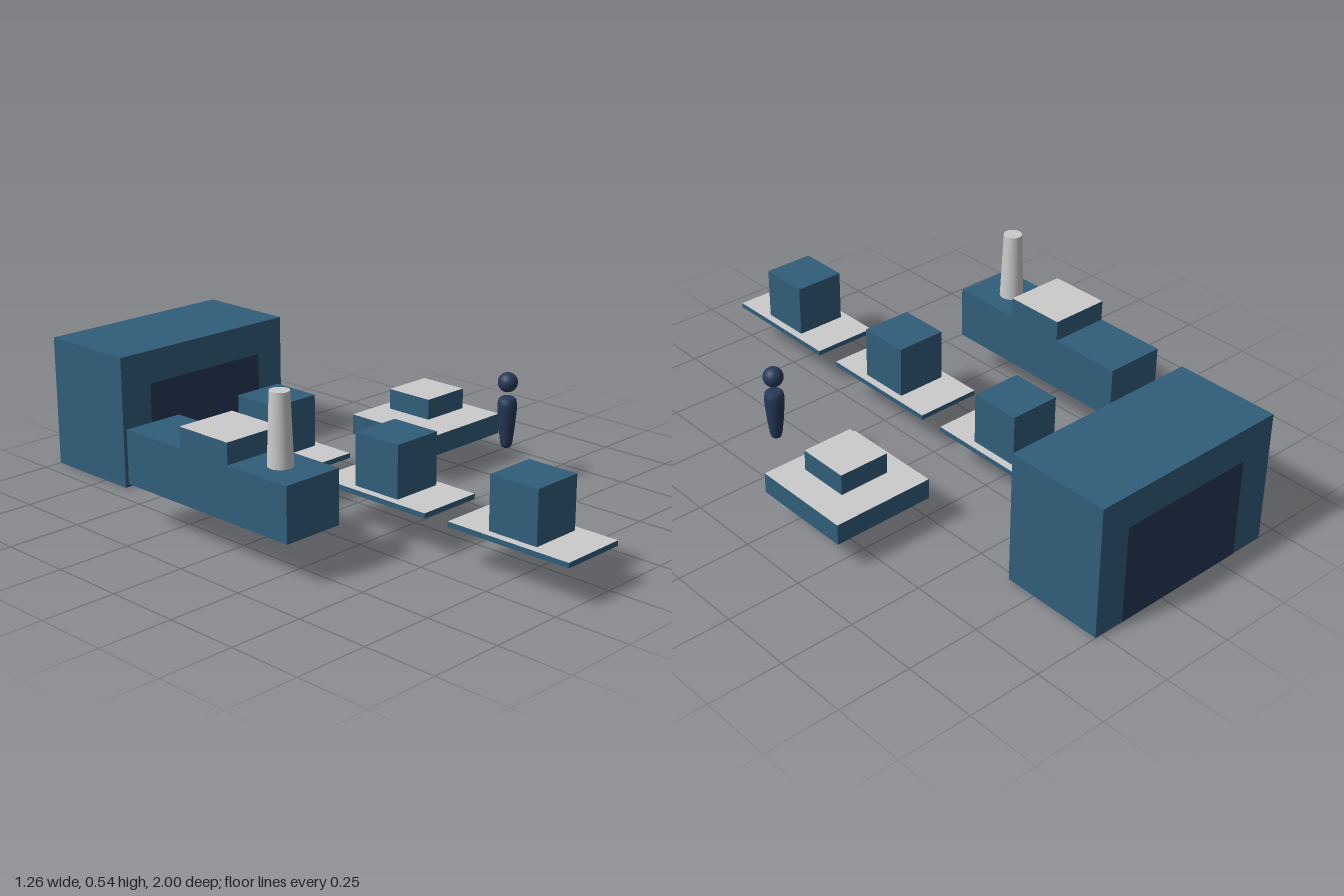
import * as THREE from 'three';

const blue = new THREE.MeshStandardMaterial({ color: 0x315e7a });
const navy = new THREE.MeshStandardMaterial({ color: 0x243856 });
const grey = new THREE.MeshStandardMaterial({ color: 0xcccccc });
// Box face order: +x, -x, +y, -y, +z, -z
const greyTopped = [blue, blue, grey, blue, blue, blue];

// Box from its lower and upper bounds
function box(name, [x0, x1], [y0, y1], [z0, z1], material = blue) {
  const mesh = new THREE.Mesh(new THREE.BoxGeometry(x1 - x0, y1 - y0, z1 - z0), material);
  mesh.position.set((x0 + x1) / 2, (y0 + y1) / 2, (z0 + z1) / 2);
  mesh.name = name;
  return mesh;
}

function group(name, ...parts) {
  const g = new THREE.Group();
  g.name = name;
  g.add(...parts);
  return g;
}

export function createModel() {
  const model = group('yard');

  // Large shed with a dark passage running through it
  model.add(group('shed',
    box('shedBody', [-0.437, 0.273], [0, 0.447], [-1, -0.645]),
    box('shedPassage', [-0.318, 0.166], [-0.0005, 0.335], [-1.001, -0.644], navy)));

  // Row of three flat carts, each with a crate
  for (const z of [-0.29, 0.242, 0.777]) {
    model.add(group('cart',
      box('cartDeck', [-0.197, 0.032], [0.128, 0.145], [z - 0.222, z + 0.222], greyTopped),
      box('cartCrate', [-0.17, 0.006], [0.145, 0.32], [z - 0.088, z + 0.088])));
  }

  // Engine with raised cab and tapered chimney
  const chimney = new THREE.Mesh(new THREE.CylinderGeometry(0.031, 0.04, 0.23, 24), grey);
  chimney.position.set(-0.525, 0.428, 0.195);
  chimney.name = 'chimney';
  model.add(group('engine',
    box('engineBody', [-0.631, -0.421], [0.135, 0.313], [-0.38, 0.33]),
    box('engineCab', [-0.631, -0.421], [0.313, 0.383], [-0.128, 0.083], greyTopped),
    chimney));

  // Platform with a smaller slab hovering above
  model.add(group('platform',
    box('platformBase', [0.273, 0.627], [0.1, 0.17], [-0.288, 0.065], greyTopped),
    box('platformSlab', [0.363, 0.539], [0.19, 0.26], [-0.2, -0.024], greyTopped)));

  // Figure: tapered rounded body and a ball head
  const profile = [[0, 0.135], [0.01, 0.136], [0.016, 0.141], [0.02, 0.153], [0.026, 0.2],
    [0.032, 0.265], [0.032, 0.287], [0.029, 0.302], [0.022, 0.309], [0, 0.31]];
  const body = new THREE.Mesh(
    new THREE.LatheGeometry(profile.map(([r, y]) => new THREE.Vector2(r, y)), 24), navy);
  body.name = 'figureBody';
  const head = new THREE.Mesh(new THREE.SphereGeometry(0.033, 24, 16), navy);
  head.position.y = 0.36;
  head.name = 'figureHead';
  const figure = group('figure', body, head);
  figure.position.set(0.45, 0, 0.243);
  model.add(figure);

  return model;
}
